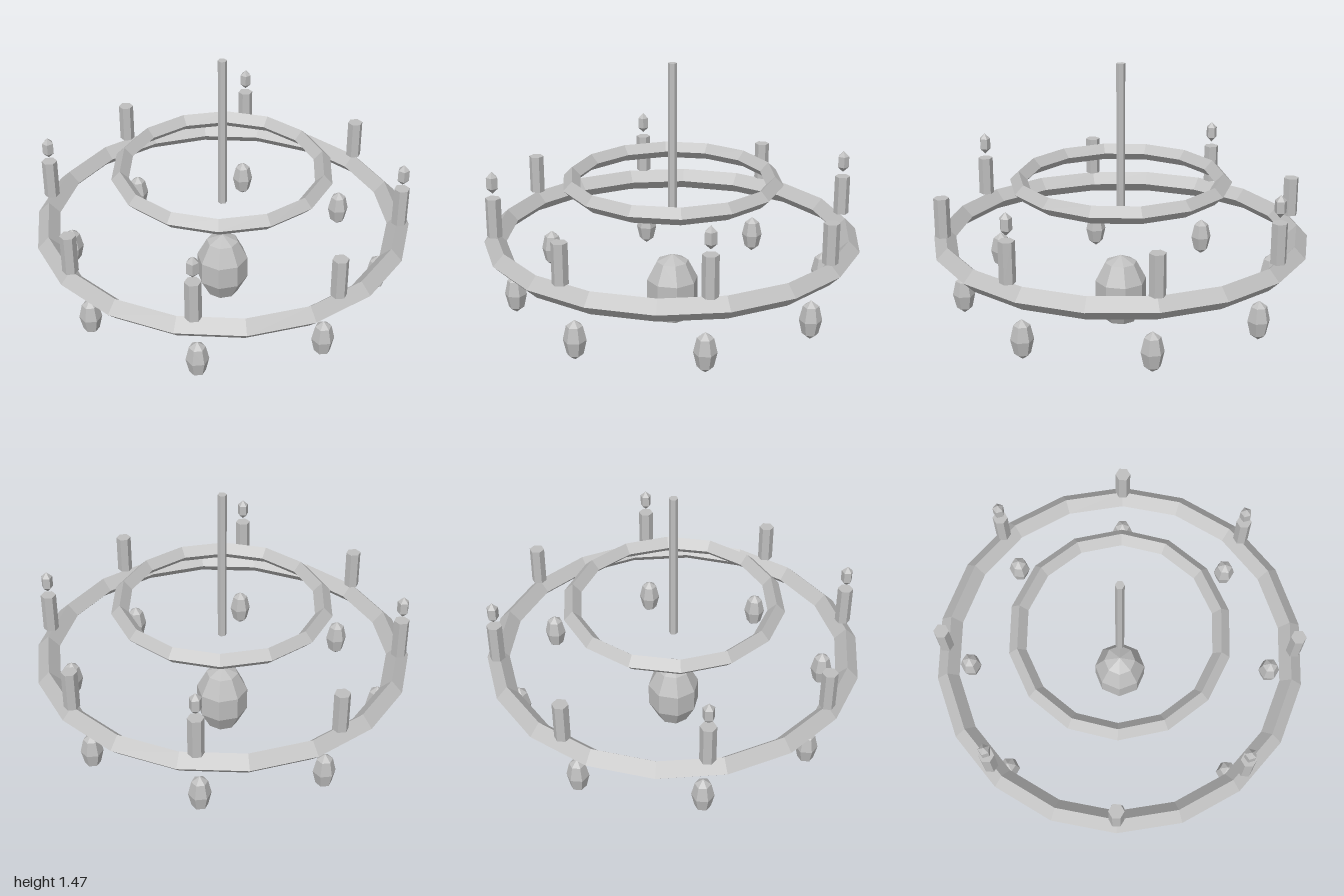
import * as THREE from 'three';

const metal = new THREE.MeshStandardMaterial({ color: 0xbfbfbf });
metal.name = 'grey';

// Faceted normals for the low-poly look
function faceted(geometry) {
  const flat = geometry.toNonIndexed();
  flat.computeVertexNormals();
  return flat;
}

// Horizontal ring with a diamond-shaped section
const ring = (radius, tube, sides) =>
  faceted(new THREE.TorusGeometry(radius, tube, 4, sides).rotateX(Math.PI / 2));

// Stretched low-poly ball with one corner pointing back
const gem = (radius, halfHeight, sides, rows) =>
  faceted(new THREE.SphereGeometry(1, sides, rows).rotateY(-Math.PI / 2).scale(radius, halfHeight, radius));

const rod = (radius, height) =>
  faceted(new THREE.CylinderGeometry(radius, radius, height, 6));

export function createModel() {
  const chandelier = new THREE.Group();
  chandelier.name = 'chandelier';

  const add = (name, geometry, x, y, z) => {
    const mesh = new THREE.Mesh(geometry, metal);
    mesh.name = name;
    mesh.position.set(x, y, z);
    chandelier.add(mesh);
  };

  // Frame
  add('lowerRing', ring(0.941, 0.059, 18), 0, 0.524, 0);
  add('upperRing', ring(0.541, 0.046, 14), 0, 0.835, 0);
  add('stem', rod(0.0235, 0.84), 0, 1.047, 0);
  add('centrePendant', gem(0.147, 0.206, 8, 5), 0, 0.208, 0);

  // Eight candles and crystals; every second candle carries a flame
  const candle = rod(0.041, 0.211);
  const crystal = gem(0.059, 0.107, 6, 4);
  const flame = gem(0.0355, 0.059, 5, 3);
  for (let i = 0; i < 8; i++) {
    const angle = (i * Math.PI) / 4;
    const c = Math.cos(angle), s = Math.sin(angle);
    add('candle', candle, 0.941 * c, 0.692, 0.941 * s);
    add('crystal', crystal, 0.847 * c, 0.252, 0.847 * s);
    if (i % 2 === 1) add('flame', flame, 0.941 * c, 0.881, 0.941 * s);
  }

  return chandelier;
}
